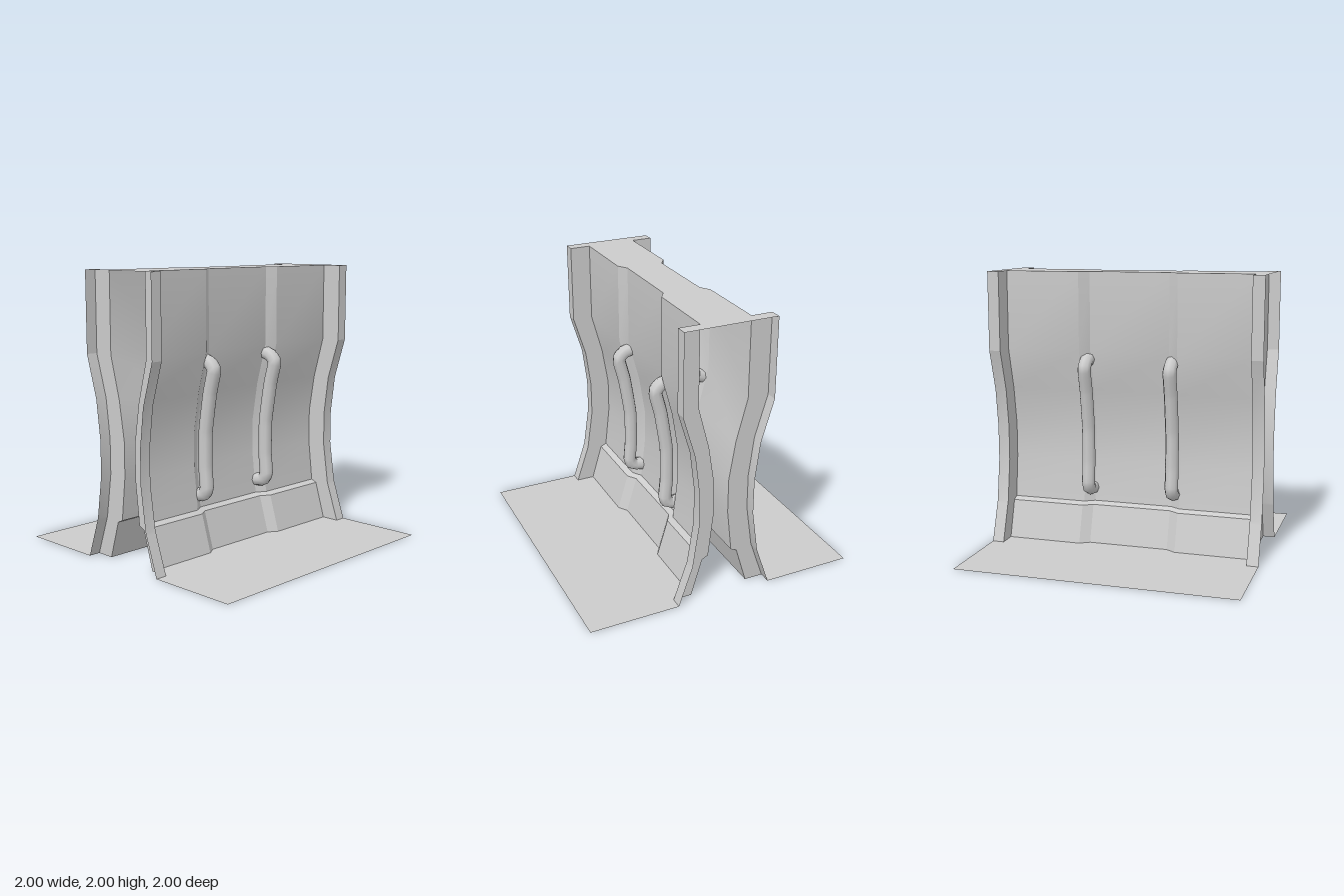
import * as THREE from 'three';
import { toCreasedNormals } from 'three/addons/utils/BufferGeometryUtils.js';

const material = new THREE.MeshStandardMaterial({ color: 0xcccccc, side: THREE.DoubleSide });

// Side profile, top to bottom: height, depth of the end flange, depth of the panel
const ROWS = [
  [2, 0.33, 0.18], [1.43, 0.33, 0.18], [1.13, 0.24, 0.1], [0.85, 0.205, 0.055],
  [0.6, 0.205, 0.055], [0.29, 0.25, 0.09], [0.27, 0.257, 0.134], [0, 0.35, 0.215],
];
const RECESS = 0.045; // the middle panel sits this much deeper

// Plan of the sheet, left to right: x, and which depth it follows
const PLAN = [
  [-1, 'flange'], [-0.915, 'flange'], [-0.915, 'panel'], [-0.365, 'panel'], [-0.295, 'middle'],
  [0.295, 'middle'], [0.365, 'panel'], [0.915, 'panel'], [0.915, 'flange'], [1, 'flange'],
];

function depth([, flange, panel], kind) {
  if (kind === 'flange') return flange;
  return kind === 'panel' ? panel : panel - RECESS;
}

function add(parent, name, geometry) {
  const mesh = new THREE.Mesh(geometry, material);
  mesh.name = name;
  parent.add(mesh);
  return mesh;
}

// Curved sheet swept over the plan and the side profile
function wallGeometry() {
  const positions = [];
  const index = [];
  const n = PLAN.length;
  ROWS.forEach((row, r) => PLAN.forEach(([x, kind], c) => {
    positions.push(x, row[0], depth(row, kind));
    if (r < ROWS.length - 1 && c < n - 1) {
      const a = r * n + c;
      index.push(a, a + n, a + 1, a + 1, a + n, a + n + 1);
    }
  }));
  const geometry = new THREE.BufferGeometry();
  geometry.setAttribute('position', new THREE.Float32BufferAttribute(positions, 3));
  geometry.setIndex(index);
  return toCreasedNormals(geometry, 0.27);
}

// Plan edge of the sheet at one row, as 2D points (x, depth)
const edge = (row) => PLAN.map(([x, kind]) => new THREE.Vector2(x, depth(row, kind)));

// Flat plate lying at height y; shape y becomes -z
function plateGeometry(points, y) {
  const shape = new THREE.Shape(points.map((p) => new THREE.Vector2(p.x, -p.y)));
  return new THREE.ShapeGeometry(shape).rotateX(-Math.PI / 2).translate(0, y, 0);
}

// Grab bar that follows the curve of the wall
function addHandle(parent, name, x) {
  const handle = new THREE.Group();
  handle.name = name;
  const points = [
    [1.37, 0.11], [1.35, 0.17], [1.3, 0.207], [1.13, 0.165], [0.85, 0.122],
    [0.6, 0.12], [0.45, 0.133], [0.4, 0.105], [0.388, 0.03],
  ].map(([y, z]) => new THREE.Vector3(x, y, z));
  const curve = new THREE.CatmullRomCurve3(points, false, 'catmullrom', 0.25);
  add(handle, 'handleBar', new THREE.TubeGeometry(curve, 40, 0.05, 8));
  for (const [t, sign] of [[0, -1], [1, 1]]) {
    const cap = add(handle, 'handleEnd', new THREE.CircleGeometry(0.05, 8));
    cap.position.copy(curve.getPoint(t));
    cap.quaternion.setFromUnitVectors(
      new THREE.Vector3(0, 0, 1), curve.getTangent(t).multiplyScalar(sign));
  }
  parent.add(handle);
}

export function createModel() {
  const model = new THREE.Group();
  model.name = 'curvedBarrier';

  // Two identical sides, back to back
  for (const [name, angle] of [['frontSide', 0], ['backSide', Math.PI]]) {
    const side = new THREE.Group();
    side.name = name;
    side.rotation.y = angle;
    add(side, 'wall', wallGeometry());
    const foot = edge(ROWS[ROWS.length - 1]);
    add(side, 'floorPlate', plateGeometry(
      [...foot, new THREE.Vector2(1, 1), new THREE.Vector2(-1, 1)], 0));
    addHandle(side, 'leftHandle', 0.317);
    addHandle(side, 'rightHandle', -0.317);
    model.add(side);
  }

  // Top plate bridging both walls
  const rim = edge(ROWS[0]);
  const backRim = rim.map((p) => new THREE.Vector2(p.x, -p.y)).reverse();
  add(model, 'topPlate', plateGeometry([...rim, ...backRim], 2));
  return model;
}
